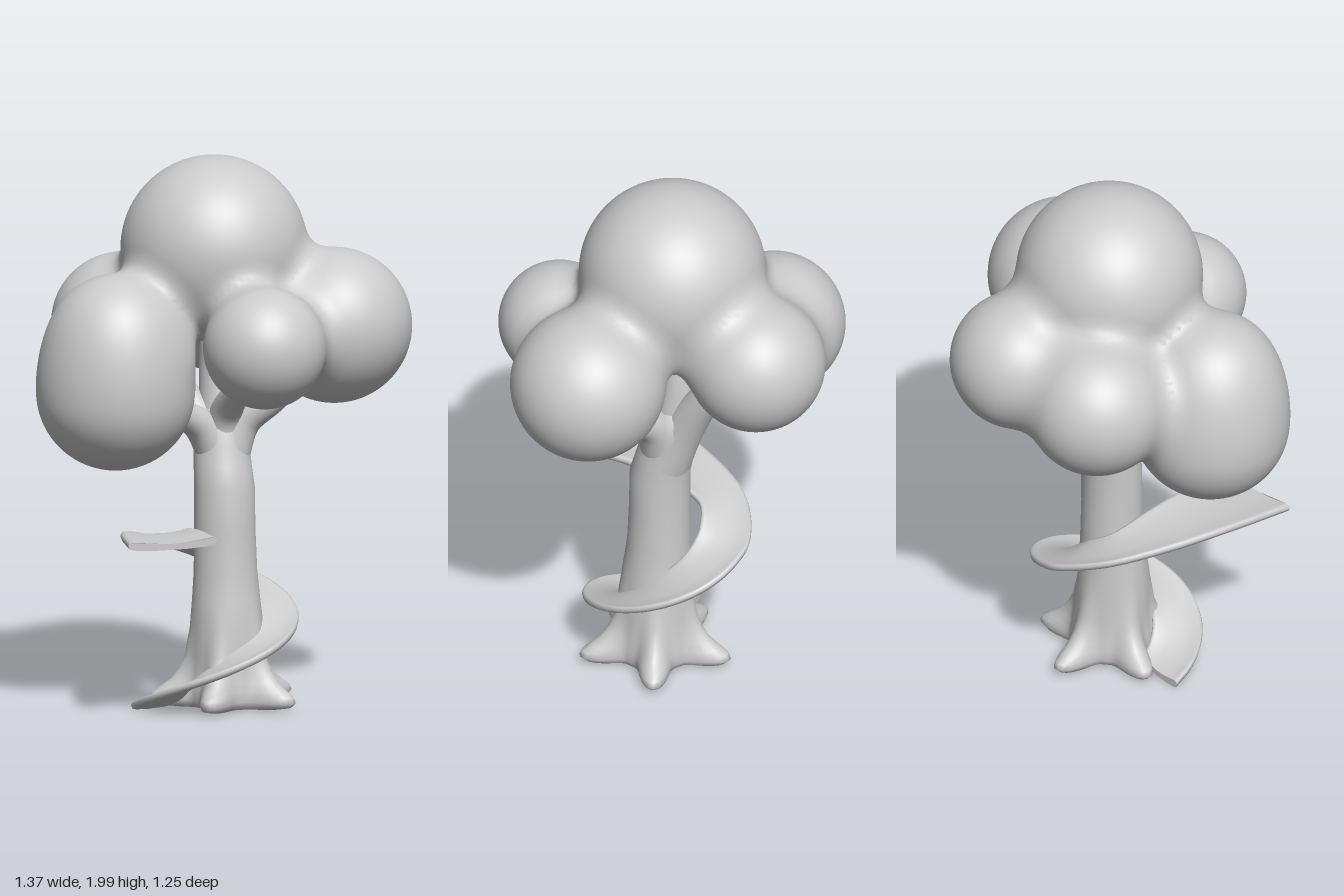
import * as THREE from 'three';

const V = (x, y, z) => new THREE.Vector3(x, y, z);
const material = new THREE.MeshStandardMaterial({ color: 0xcccccc, roughness: 0.8 });

function addMesh(parent, name, geometry) {
  const mesh = new THREE.Mesh(geometry, material);
  mesh.name = name;
  parent.add(mesh);
}

// Skin closed rings of points, with flat caps at both ends
function loft(rings) {
  const n = rings[0].length;
  const last = rings.length - 1;
  const points = rings.flat();
  const index = [];
  for (let i = 0; i < last; i++) {
    for (let j = 0; j < n; j++) {
      const k = (j + 1) % n;
      const a = i * n + j, b = a + n, c = i * n + k, d = c + n;
      index.push(a, b, c, c, b, d);
    }
  }
  for (const [ring, flip] of [[rings[0], false], [rings[last], true]]) {
    const start = points.length;
    const centre = ring.reduce((s, p) => s.add(p), V(0, 0, 0)).divideScalar(n);
    points.push(centre, ...ring);
    for (let j = 0; j < n; j++) {
      const a = start + 1 + j, b = start + 1 + (j + 1) % n;
      index.push(start, flip ? b : a, flip ? a : b);
    }
  }
  const g = new THREE.BufferGeometry().setFromPoints(points);
  g.setIndex(index);
  g.computeVertexNormals();
  return g;
}

// Foliage lobes: x, y, z, radius
const LOBES = [
  ['crownFoliage', 0.015, 1.665, -0.02, 0.336],
  ['frontFoliage', 0.04, 1.365, 0.4, 0.22],
  ['leftFoliage', 0.405, 1.39, 0.163, 0.28],
  ['rightLowerFoliage', -0.402, 1.185, 0.068, 0.285],
  ['rightUpperFoliage', -0.4, 1.36, 0.075, 0.25],
  ['backLeftFoliage', 0.122, 1.42, -0.375, 0.25],
  ['backRightFoliage', -0.215, 1.36, -0.325, 0.257],
].map(([name, x, y, z, r]) => ({ name, centre: V(x, y, z), r }));

// Distance to the softly merged lobes
function foliageDistance(p) {
  const k = 0.1;
  let d = 10;
  for (const { centre, r } of LOBES) {
    const e = p.distanceTo(centre) - r;
    const h = Math.max(k - Math.abs(d - e), 0);
    d = Math.min(d, e) - h * h / (4 * k);
  }
  return d;
}

// A sphere whose vertices are pushed out to form fillets against its neighbours
function lobeGeometry({ centre, r }) {
  const g = new THREE.SphereGeometry(1, 96, 64);
  const pos = g.attributes.position;
  const nor = g.attributes.normal;
  const dir = V(0, 0, 0), p = V(0, 0, 0), q = V(0, 0, 0);
  for (let i = 0; i < pos.count; i++) {
    dir.fromBufferAttribute(pos, i).normalize();
    let t = r;
    for (let s = 0; s < 10; s++) {
      p.copy(centre).addScaledVector(dir, t);
      t = THREE.MathUtils.clamp(t - foliageDistance(p), r, r + 0.05);
    }
    p.copy(centre).addScaledVector(dir, t);
    pos.setXYZ(i, p.x, p.y, p.z);
    const slope = ['x', 'y', 'z'].map((axis) => {
      q.copy(p)[axis] += 0.002;
      const high = foliageDistance(q);
      q[axis] -= 0.004;
      return high - foliageDistance(q);
    });
    q.set(...slope).normalize();
    nor.setXYZ(i, q.x, q.y, q.z);
  }
  return g;
}

// Trunk with five flared roots; rows: y, centre x, centre z, radius, root length
function trunkGeometry() {
  const rows = [
    [0.012, 0.05, 0.03, 0.13, 0.08], [0.022, 0.05, 0.03, 0.145, 0.12],
    [0.04, 0.05, 0.03, 0.15, 0.135], [0.06, 0.05, 0.03, 0.15, 0.125],
    [0.08, 0.05, 0.03, 0.15, 0.095], [0.11, 0.05, 0.03, 0.145, 0.06],
    [0.15, 0.05, 0.03, 0.14, 0.035], [0.2, 0.048, 0.03, 0.135, 0.018],
    [0.3, 0.045, 0.032, 0.13, 0.004], [0.4, 0.042, 0.028, 0.122, 0],
    [0.5, 0.042, 0.022, 0.114, 0], [0.65, 0.04, 0.02, 0.11, 0],
    [0.8, 0.04, 0.018, 0.109, 0], [0.88, 0.04, 0.0, 0.104, 0],
    [0.96, 0.042, -0.018, 0.1, 0], [1.02, 0.044, -0.03, 0.1, 0],
    [1.08, 0.046, -0.04, 0.085, 0], [1.12, 0.046, -0.045, 0.04, 0],
  ];
  const n = 100;
  const firstRoot = THREE.MathUtils.degToRad(55);
  return loft(rows.map(([y, cx, cz, radius, root]) =>
    Array.from({ length: n }, (_, j) => {
      const a = j / n * Math.PI * 2;
      const lobe = ((1 + Math.cos(5 * (a - firstRoot))) / 2) ** 2;
      const r = radius + root * lobe;
      return V(cx + r * Math.cos(a), y, cz + r * Math.sin(a));
    })));
}

// Tapered branch along a smooth path
function branchGeometry(r0, r1, path) {
  const curve = new THREE.CatmullRomCurve3(path.map((p) => V(...p)));
  const steps = 20, n = 24;
  const { normals, binormals } = curve.computeFrenetFrames(steps);
  const rings = [];
  for (let i = 0; i <= steps; i++) {
    const u = i / steps;
    const r = r1 + (r0 - r1) * (1 - u) ** 1.5;
    rings.push(Array.from({ length: n }, (_, j) => {
      const a = j / n * Math.PI * 2;
      return curve.getPointAt(u)
        .addScaledVector(normals[i], r * Math.cos(a))
        .addScaledVector(binormals[i], -r * Math.sin(a));
    }));
  }
  return loft(rings);
}

// Spiral slide: a thin gutter between an inner and an outer edge, ending in a platform
function slideGeometry() {
  const inner = [], outer = [];
  for (let deg = -92; deg <= 180; deg += 17) {
    const a = THREE.MathUtils.degToRad(deg);
    const y = 0.025 + (deg + 92) / 272 * 0.51;
    inner.push(V(0.01 + 0.13 * Math.sin(a), y + 0.012, 0.01 + 0.13 * Math.cos(a)));
    outer.push(V(0.31 * Math.sin(a), y - 0.004, 0.31 * Math.cos(a)));
  }
  inner.push(V(-0.07, 0.6, -0.09), V(-0.11, 0.65, 0.06), V(-0.13, 0.67, 0.22), V(-0.14, 0.671, 0.395));
  outer.push(V(-0.18, 0.59, -0.23), V(-0.32, 0.635, -0.05), V(-0.42, 0.665, 0.16), V(-0.485, 0.671, 0.395));
  const innerCurve = new THREE.CatmullRomCurve3(inner);
  const outerCurve = new THREE.CatmullRomCurve3(outer);
  // Section: position across from inner (0) to outer (1), height offset
  const section = [
    [1, 0.006], [0.98, 0.016], [0.93, 0.017], [0.85, 0.01], [0.65, 0.004], [0.35, 0.004],
    [0.15, 0.01], [0.07, 0.017], [0.02, 0.016], [0, 0.006],
    [0.02, -0.008], [0.1, -0.014], [0.35, -0.018], [0.65, -0.018], [0.9, -0.014], [0.98, -0.008],
  ];
  const steps = 140;
  const rings = [];
  for (let i = 0; i <= steps; i++) {
    const a = innerCurve.getPoint(i / steps), b = outerCurve.getPoint(i / steps);
    rings.push(section.map(([u, h]) => {
      const p = a.clone().lerp(b, u);
      p.y = Math.max(p.y + h, 0);
      return p;
    }));
  }
  return loft(rings);
}

export function createModel() {
  const model = new THREE.Group();
  model.name = 'treeWithSlide';

  addMesh(model, 'trunk', trunkGeometry());

  const branches = new THREE.Group();
  branches.name = 'branches';
  model.add(branches);
  const paths = {
    rightBranch: [0.085, 0.035, [[0.04, 0.9, -0.01], [-0.04, 1.02, 0.0], [-0.14, 1.09, 0.03], [-0.28, 1.2, 0.06]]],
    backRightBranch: [0.07, 0.035, [[0.03, 0.92, -0.01], [-0.03, 1.06, -0.05], [-0.09, 1.18, -0.13], [-0.18, 1.32, -0.27]]],
    leftBranch: [0.085, 0.04, [[0.05, 0.9, 0], [0.11, 1.04, 0.02], [0.21, 1.13, 0.08], [0.35, 1.3, 0.13]]],
    frontBranch: [0.075, 0.035, [[0.04, 0.92, -0.01], [0.04, 1.07, 0.03], [0.04, 1.19, 0.18], [0.04, 1.33, 0.36]]],
    backLeftBranch: [0.1, 0.045, [[0.045, 0.86, 0], [0.06, 1.03, -0.08], [0.09, 1.2, -0.18], [0.12, 1.38, -0.33]]],
    topBranch: [0.085, 0.05, [[0.045, 0.95, -0.02], [0.035, 1.2, -0.05], [0.02, 1.45, -0.03]]],
  };
  for (const [name, [r0, r1, path]] of Object.entries(paths)) {
    addMesh(branches, name, branchGeometry(r0, r1, path));
  }

  const foliage = new THREE.Group();
  foliage.name = 'foliage';
  model.add(foliage);
  for (const lobe of LOBES) addMesh(foliage, lobe.name, lobeGeometry(lobe));

  addMesh(model, 'slide', slideGeometry());
  return model;
}
